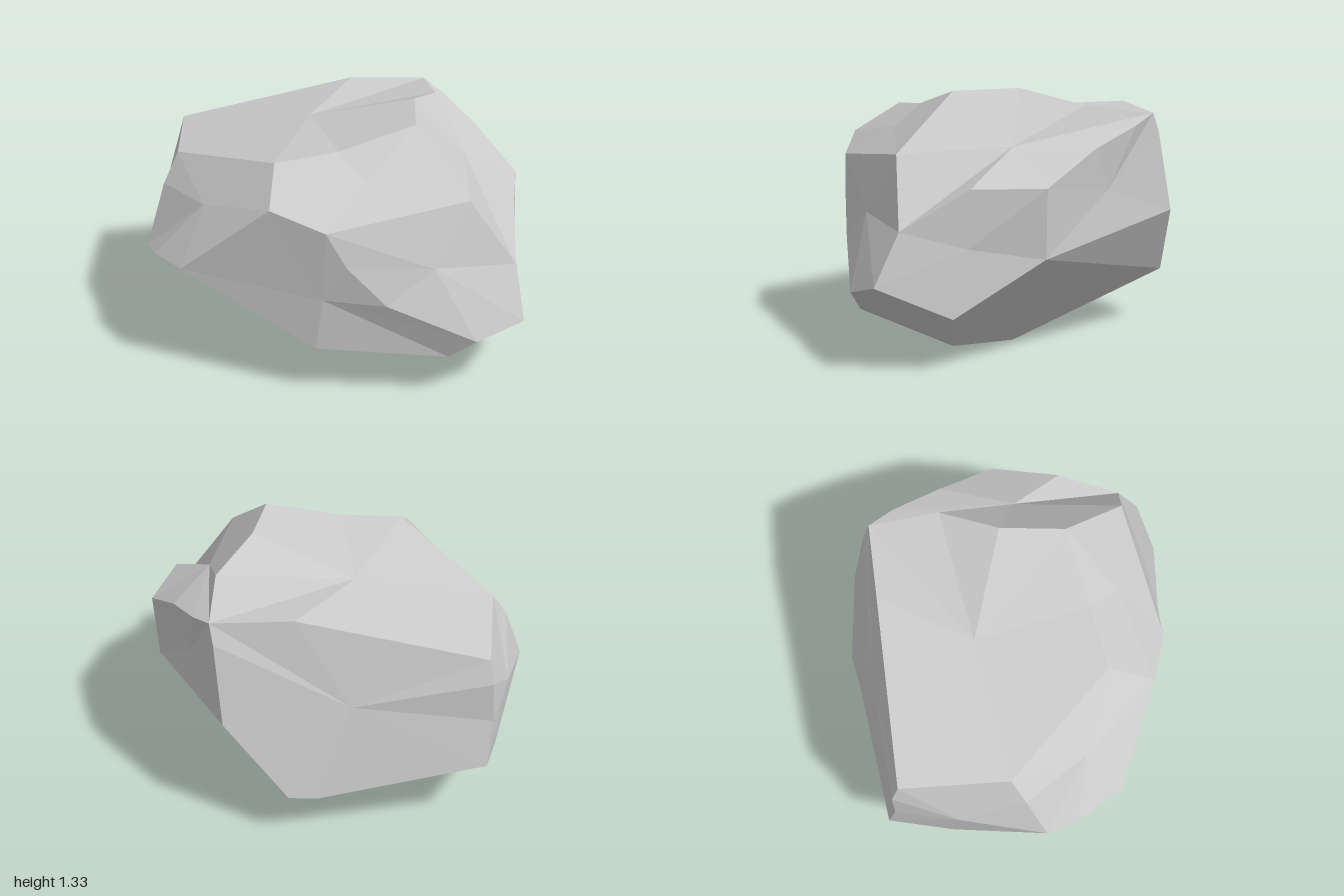
import * as THREE from 'three';

// Corners of the chiselled boulder, by region
const corners = {
  // top rim
  t1: [-0.79, 1.02, -0.67], t2: [-0.82, 1.04, -0.1], t3: [-0.33, 1.19, 0.45], t4: [0, 1.22, 0.4],
  t5: [0.4, 1.32, 0.32], t6: [0.44, 1.33, -0.02], t7: [0.6, 1.25, -0.32], t8: [0.59, 1.2, -0.69],
  t9: [0.17, 1.22, -0.68],
  // front ridges
  f1: [-0.37, 1.04, 0.69], f2: [-0.1, 0.95, 0.79], f3: [0.63, 1.04, 0.66], f4: [0, 0.77, 0.81],
  f5: [0.2, 0.56, 0.84], f6: [0.65, 0.37, 0.9], f7: [0.9, 0.44, 0.83], f8: [0.87, 0.7, 0.7],
  f9: [0.52, 0.25, 0.83], f10: [-0.15, 0.28, 0.74], f11: [-0.82, 0.64, 0.49],
  // +x side
  p1: [1, 0.9, 0], p2: [0.98, 0.55, 0], p3: [0.97, 0.28, 0.46], p4: [0.92, 0.9, 0.36],
  p5: [0.83, 1.06, -0.3], p6: [0.69, 1.15, -0.56],
  // -x side
  m1: [-1, 0.58, 0.07], m2: [-0.96, 0.61, 0.24], m3: [-0.86, 0.31, -0.42], m4: [-0.9, 0.89, -0.03],
  // back
  b1: [-0.81, 0.9, -0.71], b2: [-0.82, 0.68, -0.71], b3: [-0.8, 0.43, -0.76], b4: [0.05, 0.27, -0.87],
  b5: [0.2, 0.29, -0.9], b6: [0.53, 0.68, -0.82], b7: [0.57, 1.1, -0.73],
  // base
  u1: [0.4, 0, 0], u2: [-0.18, 0.04, 0], u3: [-0.4, 0.11, -0.12], u4: [0.72, 0.08, 0.4],
};

// Facets: corner loop, and how far the middle bulges out (+) or dips in (-)
const facets = [
  ['t1 t2 t3 t4 t5 t6 t7 t8 t9', 0.01], // top
  ['t3 t4 t5 f3 f2 f1', 0], // upper front
  ['f2 f4 f5 f6 f7 f8 f3', 0], // lower front, +x half
  ['f1 f2 f4 f5 f6 f9 f10 f11', 0.03], // lower front, -x half
  ['t2 m4 m1 m2 f11 f1 t3', 0.01], // front shoulder
  ['f7 f6 f9 u4 p3', 0], // front chin
  ['f10 f11 m2 m1 m3 u3 u2', 0.04], // underside, -x front
  ['f9 f10 u2 u1 u4', 0], // underside, front
  ['u2 u3 m3 b3 b4 b5 u1', 0], // underside, back
  ['p2 p3 u4 u1 b5', 0], // underside, +x
  ['t1 t2 m4 m1 m3 b3 b2 b1', 0.05], // -x side
  ['t9 t1 b1 b2 b3 b4 b5 b6 b7 t8', 0.01], // back
  ['p2 b5 b6', 0], // back corner, lower
  ['p2 b6 b7 t8 p6 p5 p1', -0.02], // back corner, upper
  ['t5 t6 t7 t8 p6 p5 p1 p4 f8 f3', -0.01], // +x slope
  ['p1 p4 f8 f7 p3 p2', -0.01], // +x side
];

const core = new THREE.Vector3(0, 0.6, 0);

// Fan of triangles around the facet's middle, facing away from the core
function addFacet(positions, loop, bulge) {
  const ring = loop.split(' ').map((key) => new THREE.Vector3(...corners[key]));
  const next = (i) => ring[(i + 1) % ring.length];

  // Middle weighted by edge length, so closely spaced corners do not pull it aside
  const middle = new THREE.Vector3();
  let perimeter = 0;
  ring.forEach((p, i) => {
    const length = p.distanceTo(next(i));
    middle.addScaledVector(p, length / 2).addScaledVector(next(i), length / 2);
    perimeter += length;
  });
  middle.divideScalar(perimeter);

  const normal = new THREE.Vector3();
  ring.forEach((p, i) => normal.add(p.clone().sub(middle).cross(next(i).clone().sub(middle))));
  const inward = normal.dot(middle.clone().sub(core)) < 0;
  normal.normalize().multiplyScalar(inward ? -1 : 1);
  middle.addScaledVector(normal, bulge);

  ring.forEach((p, i) => {
    const [a, b] = inward ? [next(i), p] : [p, next(i)];
    positions.push(...middle, ...a, ...b);
  });
}

export function createModel() {
  const positions = [];
  facets.forEach(([loop, bulge]) => addFacet(positions, loop, bulge));

  const geometry = new THREE.BufferGeometry();
  geometry.setAttribute('position', new THREE.Float32BufferAttribute(positions, 3));
  geometry.computeVertexNormals();

  const rock = new THREE.Mesh(
    geometry,
    new THREE.MeshStandardMaterial({ color: 0xcccccc, flatShading: true }),
  );
  rock.name = 'rock';

  const group = new THREE.Group();
  group.name = 'boulder';
  group.add(rock);
  return group;
}
